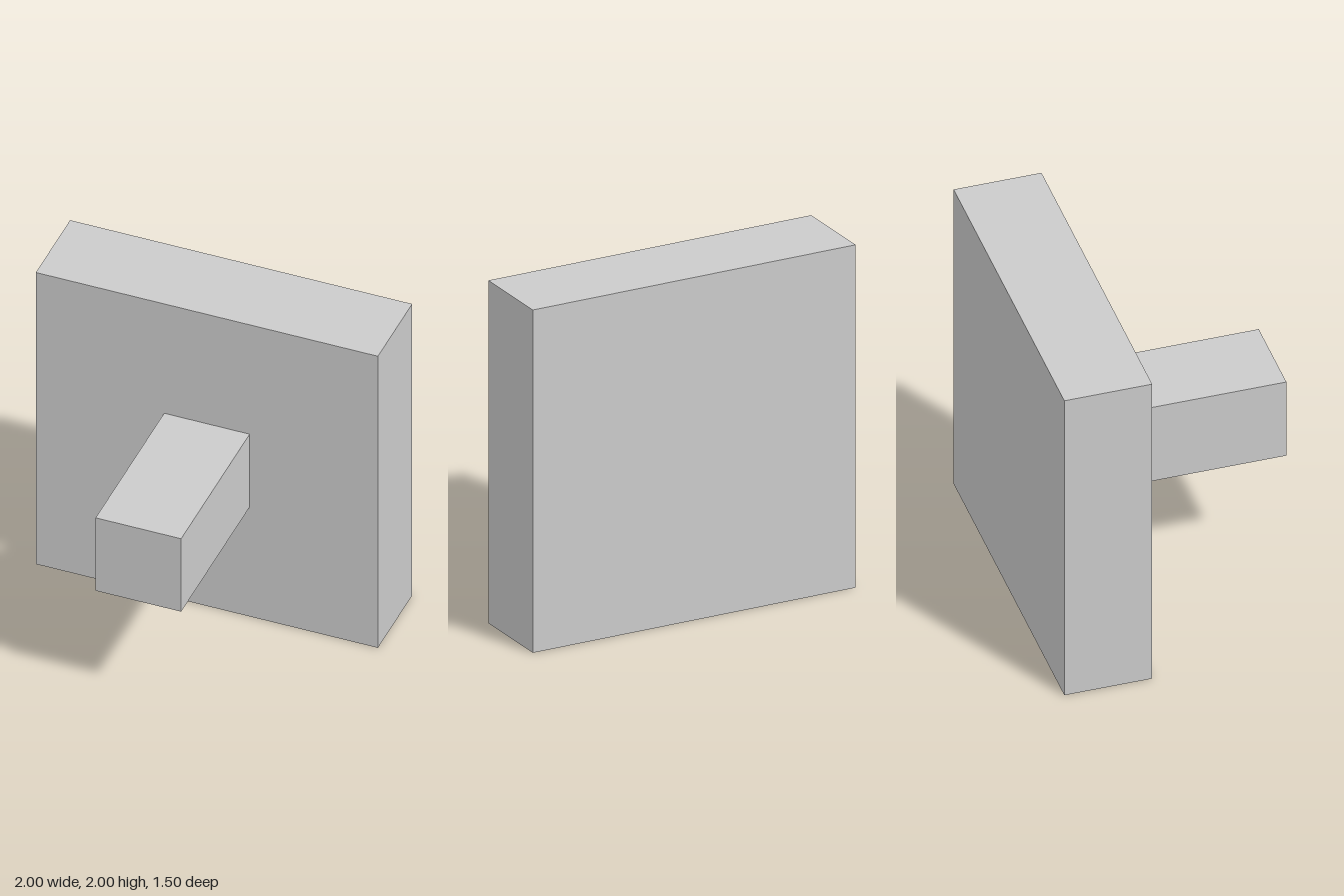
import * as THREE from 'three';

export function createModel() {
  const group = new THREE.Group();
  const material = new THREE.MeshStandardMaterial({ color: 0xcccccc });

  const addBox = (name, size, position) => {
    const mesh = new THREE.Mesh(new THREE.BoxGeometry(...size), material);
    mesh.name = name;
    mesh.position.set(...position);
    group.add(mesh);
  };

  // Square slab at the back
  addBox('backPlate', [2, 2, 0.5], [0, 1, -0.5]);
  // Square peg standing out from the middle of the slab
  addBox('frontPeg', [0.5, 0.5, 1], [0, 1, 0.25]);

  return group;
}
